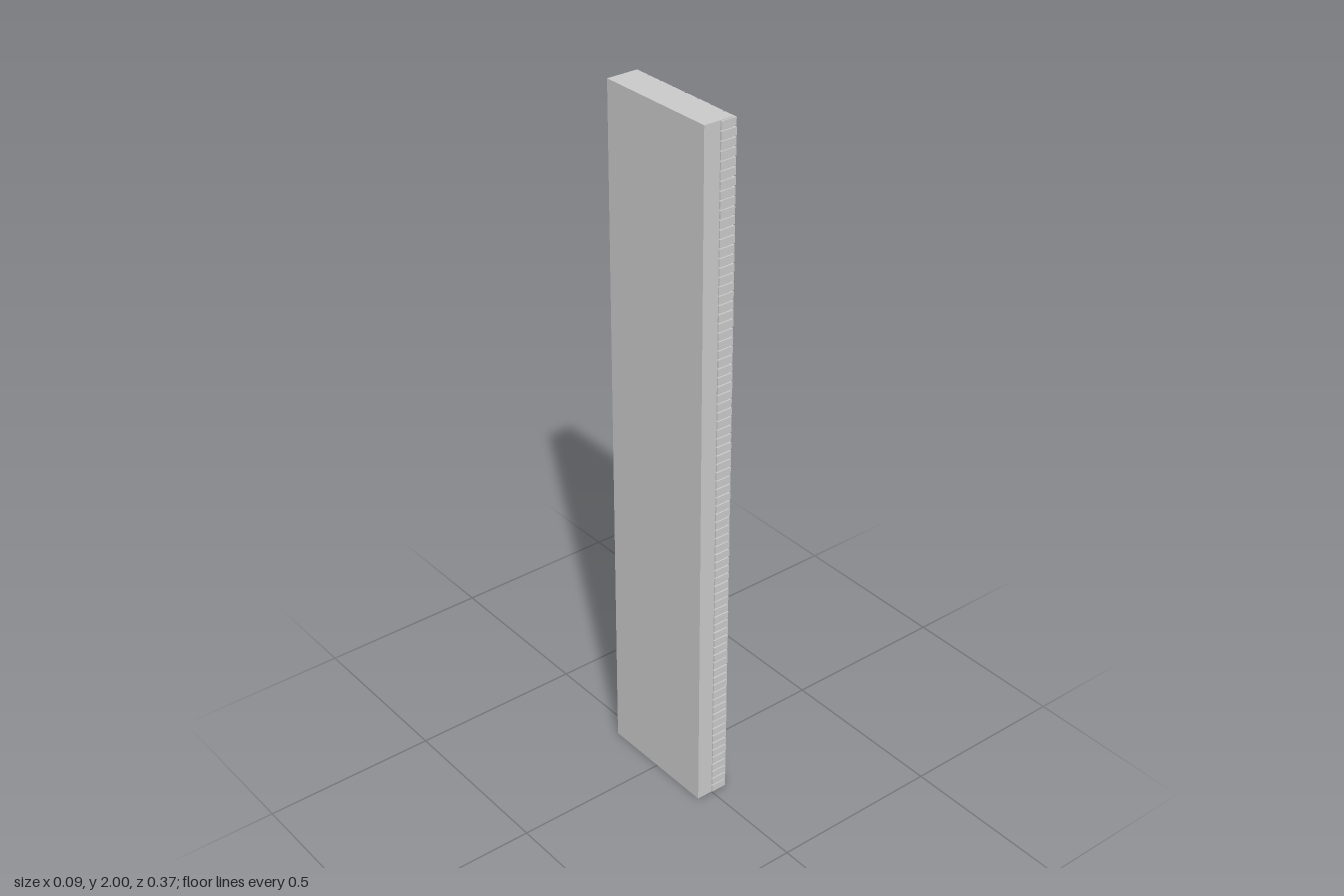
import * as THREE from 'three';
import { mergeGeometries } from 'three/addons/utils/BufferGeometryUtils.js';

// Small seeded generator for the slight unevenness of the bricks
function makeRandom(seed) {
  return () => {
    seed = (seed * 16807) % 2147483647;
    return seed / 2147483647;
  };
}

// Box given by its two extreme corners
function boxBetween(x0, x1, y0, y1, z0, z1) {
  return new THREE.BoxGeometry(x1 - x0, y1 - y0, z1 - z0)
    .translate((x0 + x1) / 2, (y0 + y1) / 2, (z0 + z1) / 2);
}

export function createModel() {
  const group = new THREE.Group();
  const material = new THREE.MeshStandardMaterial({ color: 0xcccccc, flatShading: true });
  const random = makeRandom(17);
  const jitter = (amount) => (random() - 0.5) * amount;

  // Plain slab; its front and ends show as the recessed mortar
  const slab = new THREE.Mesh(boxBetween(-0.0475, 0.0385, 0, 2, -0.183, 0.182), material);
  slab.name = 'wallSlab';
  group.add(slab);

  // Brick facing in running bond on the +x side, wrapping both ends
  const rows = 80, columns = 8;
  const halfWidth = 0.1865, face = 0.0463, gap = 0.004;
  const rowPitch = 2 / rows, brickPitch = (2 * halfWidth + gap) / columns;
  const facing = [], corners = [];
  for (let row = 0; row < rows; row++) {
    const y0 = row * rowPitch + gap / 2, y1 = (row + 1) * rowPitch - gap / 2;
    const shift = row % 2 === 0 ? brickPitch / 2 : 0;
    for (let i = shift ? -1 : 0; i < columns; i++) {
      const start = -halfWidth + i * brickPitch + shift;
      const z0 = Math.max(start, -halfWidth);
      const z1 = Math.min(start + brickPitch - gap, halfWidth);
      const atBack = z0 === -halfWidth, atFront = z1 > halfWidth - 0.001;
      const isCorner = atBack || atFront;
      const dy = jitter(0.0008);
      // Corner bricks return along the ends of the wall
      const brick = boxBetween(
        isCorner ? Math.max(0, jitter(0.001)) : 0.03,
        face + jitter(0.0008),
        row === 0 ? y0 : y0 + dy,
        row === rows - 1 ? y1 : y1 + dy,
        z0 + (atBack ? random() * 0.0008 : jitter(0.001)),
        z1 - (atFront ? random() * 0.0008 : jitter(0.001)),
      );
      (isCorner ? corners : facing).push(brick);
    }
  }
  const facingMesh = new THREE.Mesh(mergeGeometries(facing), material);
  facingMesh.name = 'facingBricks';
  const cornerMesh = new THREE.Mesh(mergeGeometries(corners), material);
  cornerMesh.name = 'cornerBricks';
  group.add(facingMesh, cornerMesh);
  return group;
}
